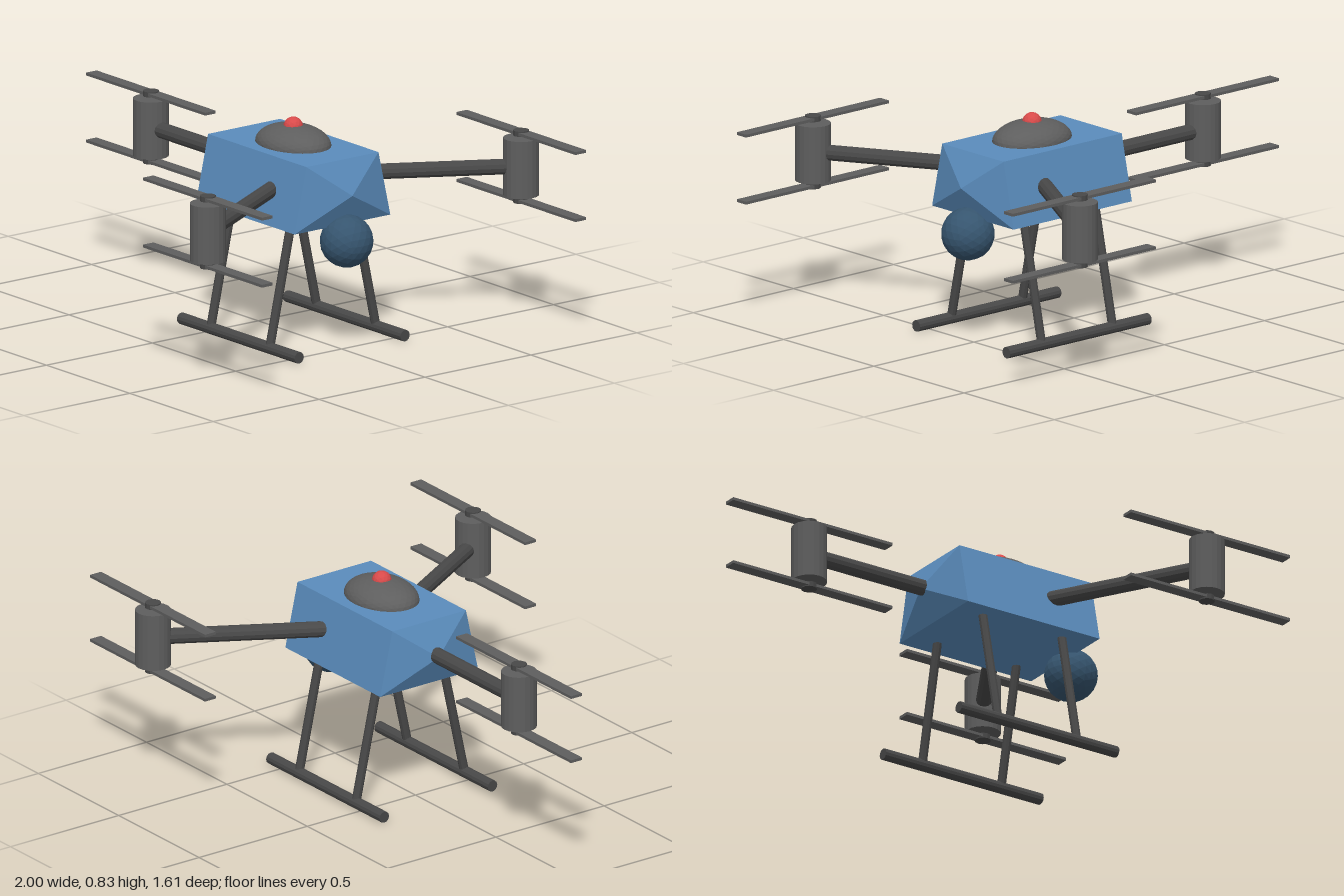
import * as THREE from 'three';
import { ConvexGeometry } from 'three/addons/geometries/ConvexGeometry.js';

const mat = (name, color) => {
  const m = new THREE.MeshStandardMaterial({ color, flatShading: true });
  m.name = name;
  return m;
};

export function createModel() {
  const blue = mat('bodyBlue', 0x5a8cbc);
  const navy = mat('cameraBlue', 0x36556f);
  const grey = mat('motorGrey', 0x5e5e5e);
  const dark = mat('frameGrey', 0x484848);
  const red = mat('beaconRed', 0xd84a4a);

  const model = new THREE.Group();
  model.name = 'tricopter';
  const CX = 0.21, ARM_Y = 0.608, ARM_LENGTH = 0.854;

  function add(name, geometry, material, x = 0, y = 0, z = 0, parent = model) {
    const mesh = new THREE.Mesh(geometry, material);
    mesh.name = name;
    mesh.position.set(x, y, z);
    parent.add(mesh);
    return mesh;
  }

  // Round bar between two points
  function bar(name, a, b, radius, material, sides = 12) {
    const from = new THREE.Vector3(...a), to = new THREE.Vector3(...b);
    const dir = to.clone().sub(from);
    const mesh = add(name, new THREE.CylinderGeometry(radius, radius, dir.length(), sides), material);
    mesh.position.copy(from).add(to).multiplyScalar(0.5);
    mesh.quaternion.setFromUnitVectors(new THREE.Vector3(0, 1, 0), dir.normalize());
    return mesh;
  }

  // Hull: trapezoid section with a pointed cap at each end
  const corners = [];
  for (const s of [-1, 1]) {
    for (const side of [-1, 1]) {
      corners.push(new THREE.Vector3(CX + s * 0.295, 0.73, side * 0.17));
      corners.push(new THREE.Vector3(CX + s * 0.295, 0.48, side * 0.226));
    }
    corners.push(new THREE.Vector3(CX + s * 0.355, 0.603, 0));
  }
  add('body', new ConvexGeometry(corners), blue);

  // Dome, beacon and camera ball
  add('dome', new THREE.IcosahedronGeometry(1, 5), grey, CX, 0.73, 0).scale.set(0.164, 0.073, 0.126);
  add('beacon', new THREE.IcosahedronGeometry(0.037, 2), red, CX, 0.794, 0);
  add('cameraBall', new THREE.IcosahedronGeometry(0.1, 3), navy, 0.53, 0.423, 0);

  // Three arms, each with a motor and a pair of rotors
  for (const angle of [Math.PI / 3, Math.PI, -Math.PI / 3]) {
    const x = CX + ARM_LENGTH * Math.cos(angle);
    const z = ARM_LENGTH * Math.sin(angle);
    bar('arm', [CX, ARM_Y, 0], [x, ARM_Y, z], 0.03, dark);

    const pod = new THREE.Group();
    pod.name = 'rotorPod';
    pod.position.set(x, ARM_Y, z);
    model.add(pod);
    add('motor', new THREE.CylinderGeometry(0.067, 0.067, 0.22, 20), grey, 0, 0, 0, pod);
    for (const s of [-1, 1]) {
      add('hub', new THREE.CylinderGeometry(0.03, 0.03, 0.02, 12), dark, 0, s * 0.129, 0, pod);
      add('blade', new THREE.BoxGeometry(0.714, 0.011, 0.05), grey, 0, s * 0.129, 0, pod);
    }
  }

  // Landing gear: a skid and two splayed legs on each side
  for (const side of [-1, 1]) {
    bar('skid', [CX - 0.353, 0.022, side * 0.25], [CX + 0.353, 0.022, side * 0.25], 0.022, dark);
    for (const x of [0.033, 0.387]) {
      bar('leg', [x, 0.51, side * 0.144], [x, 0.025, side * 0.25], 0.017, dark, 10);
    }
  }

  return model;
}
